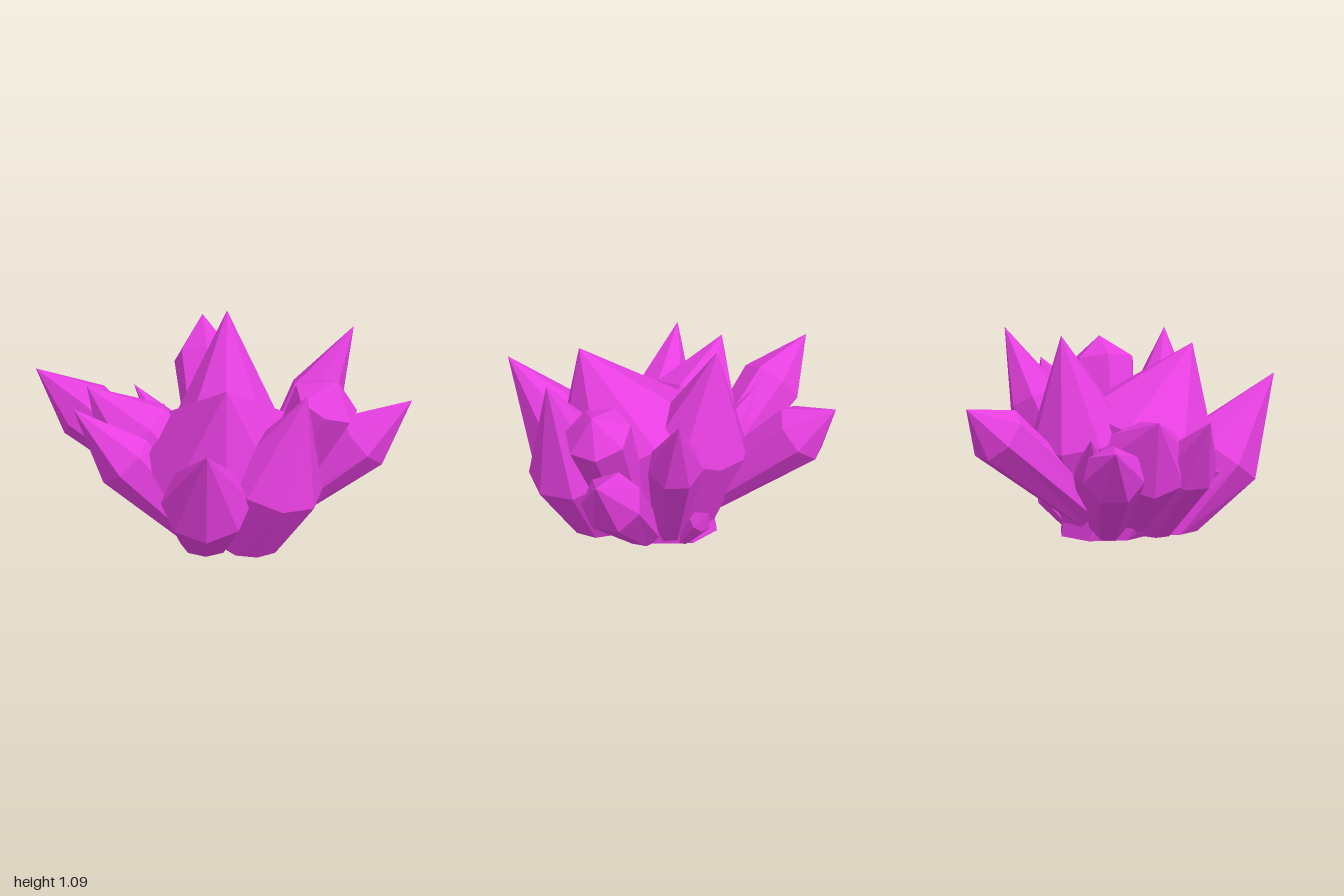
import * as THREE from 'three';

// A faceted shaft that widens to a shoulder and closes in a point; its foot is cut level with the ground.
// The shoulder sits at a fraction of the way from foot to tip.
function crystalGeometry(footX, footZ, tip, shoulderAt, shoulderR) {
  const foot = new THREE.Vector3(footX, 0, footZ);
  const top = new THREE.Vector3(...tip);
  const shoulder = foot.clone().lerp(top, shoulderAt);
  const axis = top.clone().sub(foot).normalize();
  const u = new THREE.Vector3(0, 1, 0).addScaledVector(axis, -axis.y).normalize(); // uphill side
  const v = axis.clone().cross(u);
  const sides = shoulderR > 0.2 ? 8 : 7;
  const footR = shoulderR * 0.55;

  const ringPoint = (centre, r, i) => {
    const a = (i / sides) * Math.PI * 2;
    return centre.clone().addScaledVector(u, r * Math.cos(a)).addScaledVector(v, r * Math.sin(a));
  };
  const footPoint = (i) => {
    const p = ringPoint(foot, footR, i);
    return p.addScaledVector(axis, -p.y / axis.y);
  };

  const points = [];
  for (let i = 0; i < sides; i++) {
    const a = footPoint(i), b = footPoint(i + 1);
    const c = ringPoint(shoulder, shoulderR, i), d = ringPoint(shoulder, shoulderR, i + 1);
    points.push(a, b, d, a, d, c); // shaft
    points.push(c, d, top); // point
    points.push(b, a, foot); // underside
  }
  const geometry = new THREE.BufferGeometry().setFromPoints(points);
  geometry.computeVertexNormals();
  return geometry;
}

export function createModel() {
  const group = new THREE.Group();
  group.name = 'crystalCluster';
  const material = new THREE.MeshStandardMaterial({ color: 0xe63fe0, flatShading: true });

  const addCrystal = (name, ...shape) => {
    const mesh = new THREE.Mesh(crystalGeometry(...shape), material);
    mesh.name = name;
    group.add(mesh);
  };

  // Large crystals in the middle
  addCrystal('tallBackCrystal', 0.01, -0.09, [0.012, 1.09, -0.29], 0.48, 0.275);
  addCrystal('broadCentreCrystal', 0.01, -0.02, [0.012, 0.975, 0.48], 0.48, 0.435);

  // Front crystals
  addCrystal('frontCrystal', -0.1, 0.29, [-0.09, 0.79, 0.91], 0.47, 0.24);
  addCrystal('frontLeftCrystal', 0.14, 0.32, [0.44, 0.965, 0.52], 0.43, 0.265);
  addCrystal('frontRightCrystal', -0.13, 0.18, [-0.8, 0.74, 0.2], 0.6, 0.165);

  // Side crystals
  addCrystal('bluntLeftCrystal', 0.17, 0.11, [0.6, 0.915, 0.215], 0.86, 0.183);
  addCrystal('leftCrystal', 0.16, 0.05, [0.993, 0.73, 0.06], 0.69, 0.168);
  addCrystal('rightCrystal', 0, 0.09, [-0.73, 0.75, -0.07], 0.65, 0.24);

  // Back crystals
  addCrystal('backCrystal', -0.05, 0, [-0.12, 0.78, -0.91], 0.79, 0.165);
  addCrystal('backLeftCrystal', 0.13, -0.06, [0.683, 0.995, -0.3], 0.64, 0.15);
  addCrystal('backRightCrystal', -0.05, -0.05, [-1, 0.675, -0.45], 0.73, 0.168);
  addCrystal('smallRightCrystal', 0.05, -0.08, [-0.48, 0.63, -0.35], 0.65, 0.1);
  addCrystal('tinyBackCrystal', 0.17, -0.15, [0.26, 0.25, -0.325], 0.68, 0.06);

  return group;
}
